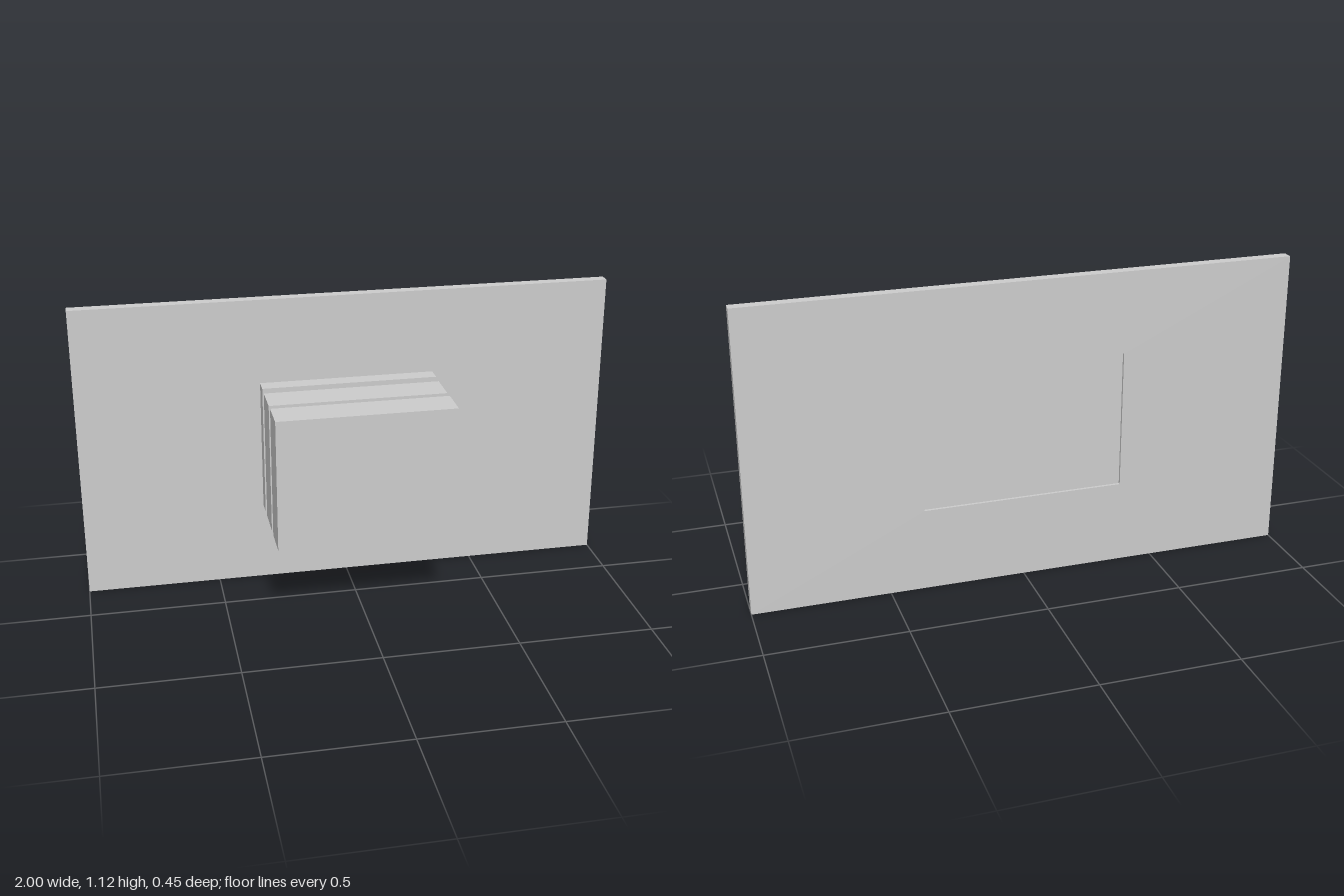
import * as THREE from 'three';

export function createModel() {
  const model = new THREE.Group();
  const material = new THREE.MeshStandardMaterial({ color: 0xcccccc, flatShading: true });

  function add(name, geometry) {
    const mesh = new THREE.Mesh(geometry, material);
    mesh.name = name;
    model.add(mesh);
    return mesh;
  }

  // Box given by its half width and its y and z ranges
  function slab(name, halfWidth, y0, y1, z0, z1) {
    const mesh = add(name, new THREE.BoxGeometry(halfWidth * 2, y1 - y0, z1 - z0));
    mesh.position.set(0, (y0 + y1) / 2, (z0 + z1) / 2);
    return mesh;
  }

  function rectangle(PathType, halfWidth, y0, y1) {
    return new PathType([
      new THREE.Vector2(-halfWidth, y0), new THREE.Vector2(halfWidth, y0),
      new THREE.Vector2(halfWidth, y1), new THREE.Vector2(-halfWidth, y1),
    ]);
  }

  // Wide back plate with a rectangular opening
  const outline = rectangle(THREE.Shape, 1, 0, 1.12);
  outline.holes.push(rectangle(THREE.Path, 0.37, 0.308, 0.818));
  const plate = add('backPlate', new THREE.ExtrudeGeometry(outline, { depth: 0.04, bevelEnabled: false }));
  plate.position.z = -0.225;

  // Panel filling the opening, leaving a shallow recess at the back
  slab('recessedPanel', 0.37, 0.308, 0.818, -0.215, -0.185);

  // Tapered collar, wider where it meets the plate
  const collar = slab('taperedCollar', 0.29, 0.345, 0.78, -0.185, -0.16);
  const corners = collar.geometry.attributes.position;
  for (let i = 0; i < corners.count; i++) {
    if (corners.getZ(i) > 0) corners.setXY(i, corners.getX(i) * 0.86, corners.getY(i) * 0.88);
  }
  collar.geometry.computeVertexNormals();

  // Stacked blocks separated by narrower necks
  slab('rearBlock', 0.325, 0.315, 0.81, -0.16, -0.1);
  slab('rearNeck', 0.27, 0.373, 0.75, -0.1, -0.06);
  slab('middleBlock', 0.325, 0.317, 0.807, -0.06, 0.065);
  slab('frontNeck', 0.277, 0.37, 0.754, 0.065, 0.1);
  slab('frontBlock', 0.325, 0.315, 0.81, 0.1, 0.225);

  return model;
}
